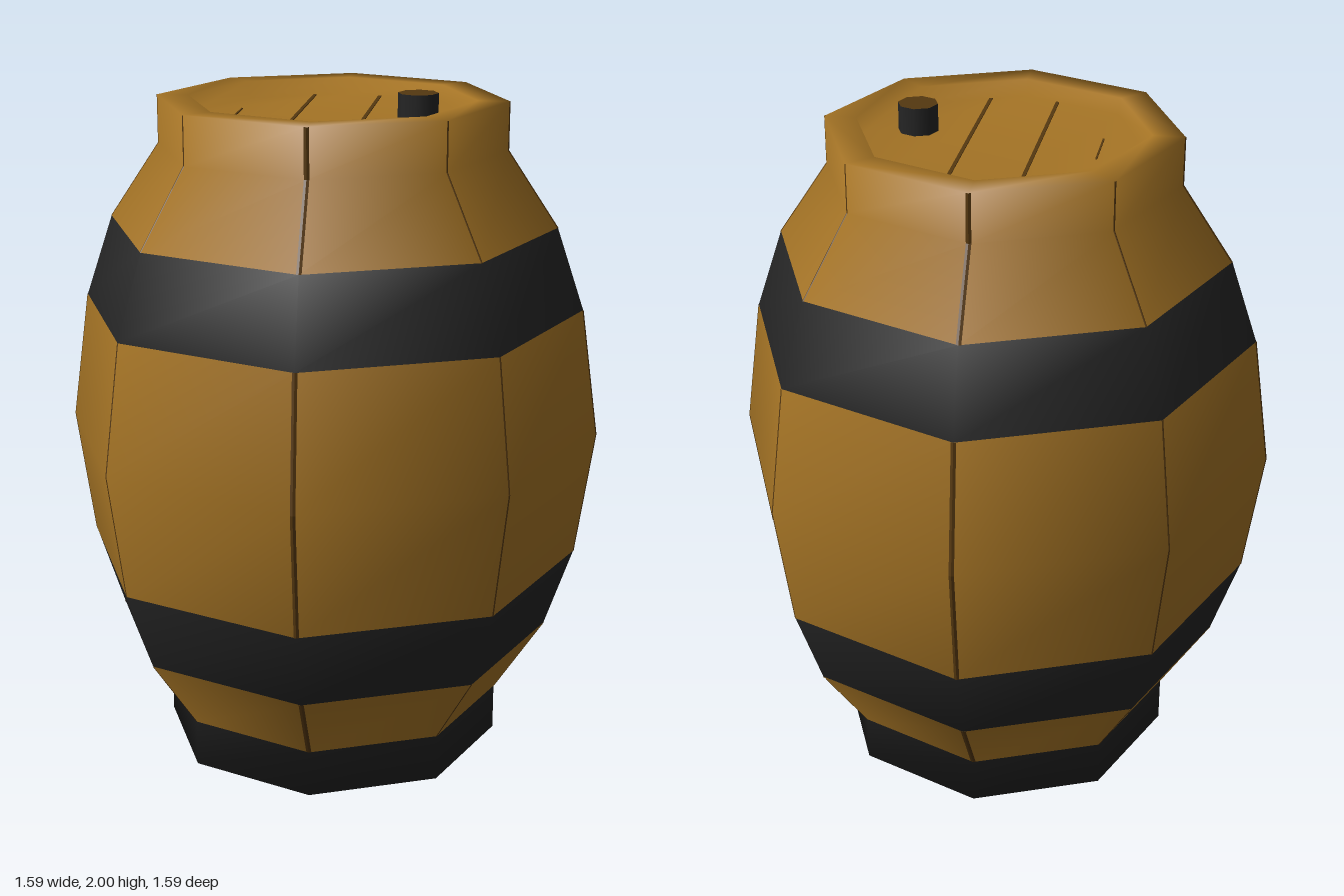
import * as THREE from 'three';

const SIDES = 8;
const wood = new THREE.MeshStandardMaterial({ color: 0xa57425 });
wood.name = 'wood';
const iron = new THREE.MeshStandardMaterial({ color: 0x252525 });
iron.name = 'dark iron';
const groove = new THREE.MeshStandardMaterial({ color: 0x553810, side: THREE.DoubleSide });
groove.name = 'dark groove wood';

// Profile from the foot up, over the rim and down to the recessed lid:
// radius, height, and whether the band above this ring is iron
const LID_Y = 1.92;
const rings = [
  [0.512, 0, true], [0.512, 0.14, false], [0.66, 0.365, true], [0.742, 0.608, false],
  [0.795, 0.985, false], [0.742, 1.365, true], [0.66, 1.608, false], [0.512, 1.83, false],
  [0.512, 1.97, false], [0.42, 1.97, false], [0.41, LID_Y, false],
];
const WALL_END = 8; // ring where the outer wall meets the rim

// Corner k of ring j, with corners lying on the x and z axes
function corner(j, k) {
  const a = (k / SIDES) * Math.PI * 2;
  const [r, y] = rings[j];
  return new THREE.Vector3(Math.sin(a) * r, y, Math.cos(a) * r);
}

// One smooth shell, with material groups for staves and hoops
function barrelGeometry() {
  const pos = [];
  const index = [];
  const geo = new THREE.BufferGeometry();
  rings.forEach((_, j) => {
    for (let k = 0; k < SIDES; k++) pos.push(...corner(j, k).toArray());
  });
  for (let j = 0; j < rings.length - 1; j++) {
    geo.addGroup(index.length, SIDES * 6, rings[j][2] ? 1 : 0);
    for (let k = 0; k < SIDES; k++) {
      const n = (k + 1) % SIDES;
      const a = j * SIDES + k, b = j * SIDES + n;
      index.push(a, b, b + SIDES, a, b + SIDES, a + SIDES);
    }
  }
  // Lid and bottom, each an octagon cut into parallel strips
  const strips = [[0, 1, 2], [0, 2, 3], [0, 3, 7], [7, 3, 4], [7, 4, 6], [6, 4, 5]];
  const lid = (rings.length - 1) * SIDES;
  geo.addGroup(index.length, strips.length * 6, 0);
  for (const [a, b, c] of strips) {
    index.push(lid + a, lid + b, lid + c);
    index.push(...[c, b, a].map((v) => (v + 6) % SIDES));
  }
  geo.setAttribute('position', new THREE.Float32BufferAttribute(pos, 3));
  geo.setIndex(index);
  geo.computeVertexNormals();
  return geo;
}

// Thin strips that fold around the vertical edges of the wooden bands
function seamGeometry() {
  const pos = [];
  const lift = new THREE.Vector3(1.002, 1, 1.002);
  for (let j = 0; j < WALL_END; j++) {
    if (rings[j][2]) continue;
    for (let k = 0; k < SIDES; k++) {
      const half = k % 2 ? 0.003 : 0.008;
      for (const side of [-1, 1]) {
        const [low, high] = [j, j + 1].map((r) => corner(r, k));
        const [lowIn, highIn] = [j, j + 1].map((r) => {
          const v = corner(r, k);
          const dir = corner(r, k + side).sub(v).normalize();
          return v.addScaledVector(dir, half);
        });
        for (const v of [low, lowIn, highIn, high]) v.multiply(lift);
        const quad = side > 0
          ? [low, lowIn, highIn, low, highIn, high]
          : [lowIn, low, high, lowIn, high, highIn];
        for (const v of quad) pos.push(v.x, v.y, v.z);
      }
    }
  }
  const geo = new THREE.BufferGeometry();
  geo.setAttribute('position', new THREE.Float32BufferAttribute(pos, 3));
  geo.computeVertexNormals();
  return geo;
}

export function createModel() {
  const group = new THREE.Group();
  group.name = 'barrel';

  function add(name, geometry, material, x = 0, y = 0, z = 0) {
    const mesh = new THREE.Mesh(geometry, material);
    mesh.name = name;
    mesh.position.set(x, y, z);
    group.add(mesh);
  }

  add('barrelBody', barrelGeometry(), [wood, iron]);
  add('staveSeams', seamGeometry(), groove);

  // Plank gaps on the lid
  for (const [x, length] of [[-0.1, 0.74], [0.1, 0.74], [-0.275, 0.16]]) {
    const width = length > 0.5 ? 0.01 : 0.005;
    add('lidGroove', new THREE.BoxGeometry(width, 0.004, length), groove, x, LID_Y + 0.001);
  }

  // Bung with an iron side and a wooden end
  const bungHeight = 2 - LID_Y + 0.01;
  add('bung', new THREE.CylinderGeometry(0.058, 0.058, bungHeight, SIDES),
    [iron, groove, iron], 0.256, 2 - bungHeight / 2, 0.07);

  return group;
}
